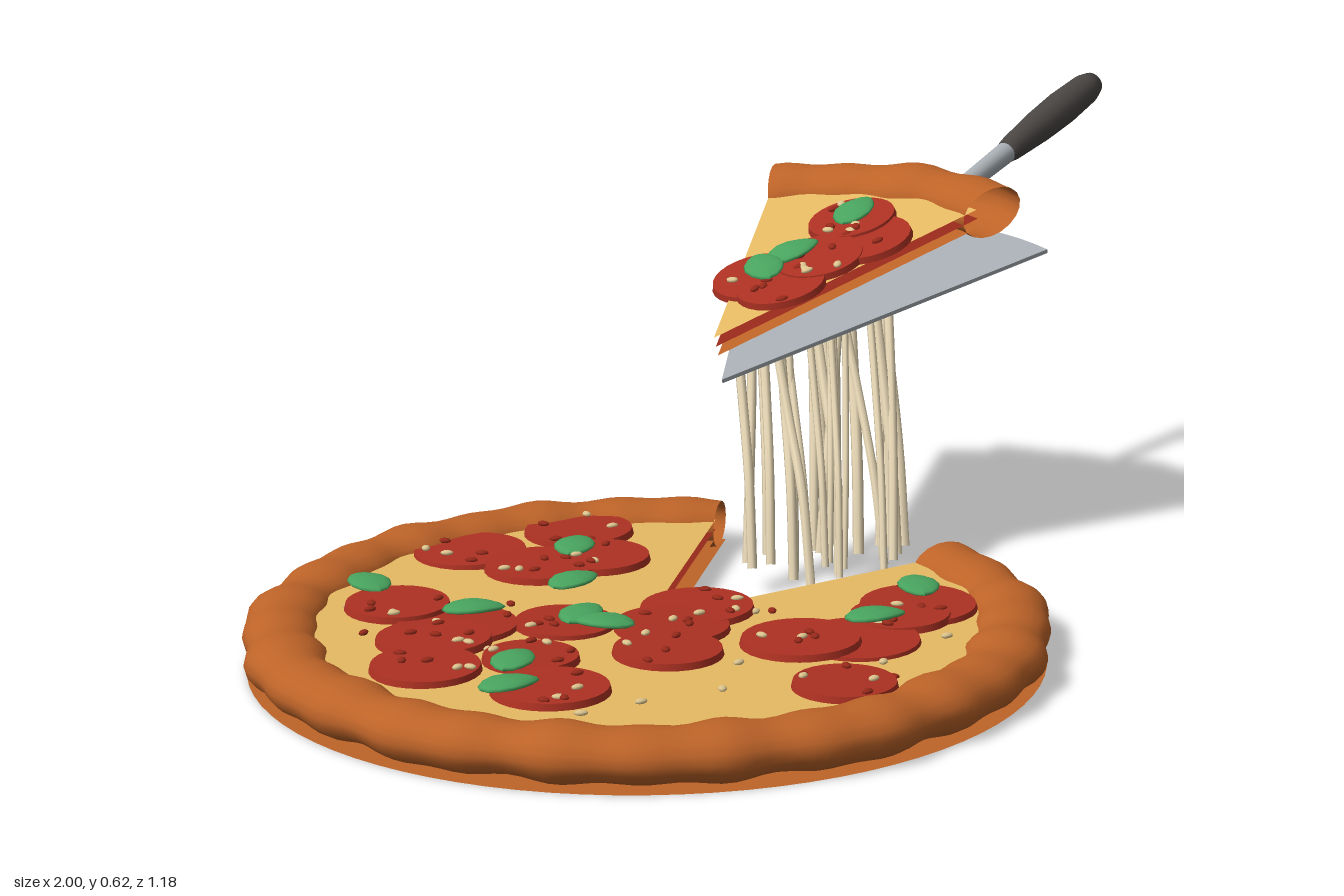
import * as THREE from 'three';

const mat = (name, color, double) => {
  const m = new THREE.MeshStandardMaterial({ color });
  m.name = name;
  if (double) m.side = THREE.DoubleSide;
  return m;
};
const rad = THREE.MathUtils.degToRad;

export function createModel() {
  const M = {
    crust: mat('baked crust', 0xbd6328, true),
    cheese: mat('melted cheese', 0xe6b964, true),
    sauce: mat('tomato sauce', 0x96291a, true),
    pepperoni: mat('pepperoni red', 0xad3122),
    basil: mat('basil green', 0x48a35e),
    strand: mat('cheese strand', 0xe6d6b4),
    flake: mat('pale flake', 0xdcc48e),
    steel: mat('steel', 0xa8aeb3, true),
    grip: mat('dark grip', 0x4a4644),
  };
  let seed = 7;
  const rnd = () => (seed = (seed * 16807) % 2147483647) / 2147483647;
  const add = (parent, name, geo, material, x = 0, y = 0, z = 0) => {
    const mesh = new THREE.Mesh(geo, material);
    mesh.name = name;
    mesh.position.set(x, y, z);
    parent.add(mesh);
    return mesh;
  };

  // Lumpy crust swept along an arc, open at both ends
  function crustGeometry(a0, a1) {
    const n = Math.ceil((a1 - a0) / 0.035), k = 18, pos = [], idx = [];
    for (let i = 0; i <= n; i++) {
      const a = a0 + ((a1 - a0) * i) / n;
      const lump = 1 + 0.06 * Math.sin(a * 29) + 0.05 * Math.sin(a * 17 + 1);
      const r0 = 0.53 + 0.003 * Math.sin(a * 11);
      for (let j = 0; j < k; j++) {
        const p = (j / k) * Math.PI * 2;
        const r = r0 + Math.cos(p) * 0.056 * lump;
        const y = Math.max(0.006, 0.044 + Math.sin(p) * 0.038 * lump);
        pos.push(r * Math.cos(a), y, r * Math.sin(a));
        if (i < n) {
          const q = i * k + j, s = i * k + ((j + 1) % k);
          idx.push(q, s, q + k, s, s + k, q + k);
        }
      }
    }
    const g = new THREE.BufferGeometry();
    g.setAttribute('position', new THREE.Float32BufferAttribute(pos, 3));
    g.setIndex(idx);
    g.computeVertexNormals();
    return g;
  }

  // Flat sector lying in the xz plane
  const sector = (r, a0, a1) =>
    new THREE.CircleGeometry(r, 72, a0, a1 - a0).rotateX(Math.PI / 2);

  // Pointed, domed leaf
  const leafGeo = new THREE.SphereGeometry(1, 14, 8);
  const lp = leafGeo.attributes.position;
  for (let i = 0; i < lp.count; i++) {
    const x = lp.getX(i);
    lp.setXYZ(i, x * 0.047, lp.getY(i) * 0.007 - x * x * 0.004,
      lp.getZ(i) * 0.032 * (1 - 0.4 * Math.max(0, x)));
  }
  leafGeo.computeVertexNormals();
  const flakeGeo = new THREE.SphereGeometry(0.01, 8, 6).scale(1, 0.4, 0.65);

  // Crust, layers and toppings for one sector
  function pizza(name, a0, a1, slices, leaves, base) {
    const g = new THREE.Group();
    g.name = name;
    add(g, 'crust', crustGeometry(a0, a1), M.crust);
    add(g, 'underside', sector(base.radius, a0, a1), M.crust, 0, base.y);
    add(g, 'sauceLayer', sector(0.5, a0, a1), M.sauce, 0, 0.045);
    add(g, 'cheeseLayer', sector(0.5, a0, a1), M.cheese, 0, 0.06);
    slices.forEach(([x, z, r], i) => {
      const y = 0.062 + (i % 5) * 0.0017;
      const m = add(g, 'pepperoni', new THREE.CylinderGeometry(r * 0.97, r, 0.01, 28), M.pepperoni, x, y, z);
      m.rotation.set((rnd() - 0.5) * 0.04, 0, (rnd() - 0.5) * 0.04);
      for (let j = 0; j < 5; j++) {
        const t = rnd() * 6.28, d = r * 0.85 * Math.sqrt(rnd());
        const f = add(g, 'flake', flakeGeo, j % 2 ? M.flake : M.sauce,
          x + d * Math.cos(t), y + 0.007, z + d * Math.sin(t));
        f.rotation.y = rnd() * 3;
      }
    });
    leaves.forEach(([x, z, turn]) => {
      add(g, 'basilLeaf', leafGeo, M.basil, x, 0.078, z).rotation.y = turn;
    });
    return g;
  }

  const model = new THREE.Group();
  model.name = 'pizzaWithLiftedSlice';

  // Main pizza with a one-eighth gap
  const main = pizza('mainPizza', rad(16.5), rad(331), [
    [0.07, -0.42, 0.087], [0.25, -0.36, 0.085], [0.08, -0.28, 0.088], [0.16, -0.24, 0.08],
    [-0.2, -0.31, 0.078], [-0.2, -0.19, 0.09], [-0.27, -0.17, 0.085], [-0.37, -0.09, 0.08],
    [-0.25, 0.0, 0.07], [-0.335, 0.115, 0.085], [-0.095, -0.075, 0.075], [0.075, 0.03, 0.085],
    [-0.015, 0.06, 0.085], [-0.105, 0.13, 0.08], [0.045, 0.25, 0.088], [0.11, 0.305, 0.09],
    [0.285, 0.275, 0.088], [0.23, 0.285, 0.075], [-0.06, 0.415, 0.075],
  ], [
    [-0.165, -0.405, 1.2], [0.165, -0.29, 0.5], [0.035, -0.175, 0],
    [-0.155, -0.2, -0.7], [-0.29, 0.005, 0.4], [-0.37, 0.07, -0.3], [-0.075, -0.06, 0.3],
    [-0.085, -0.01, 2], [0.185, 0.275, -0.5], [0.335, 0.235, 0.9],
  ], { radius: 0.58, y: 0.004 });
  main.position.set(-0.412, 0, 0);
  add(main, 'doughLayer', sector(0.5, rad(16.5), rad(331)), M.crust, 0, 0.03);
  model.add(main);

  // Loose flakes scattered on the cheese
  for (let i = 0; i < 28; i++) {
    const a = rad(25 + rnd() * 297), r = 0.08 + 0.37 * Math.sqrt(rnd());
    add(main, 'looseFlake', flakeGeo, i % 3 ? M.flake : M.sauce,
      r * Math.cos(a), 0.063, r * Math.sin(a)).rotation.y = rnd() * 3;
  }

  // Lifted slice
  const slice = pizza('liftedSlice', rad(-22.5), rad(22.5), [
    [0.186, -0.035, 0.075], [0.163, 0.018, 0.07], [0.327, 0.07, 0.075],
    [0.255, 0.032, 0.07], [0.38, 0.015, 0.07],
  ], [[0.2, -0.035, 0.8], [0.255, -0.015, -0.4], [0.4, 0.01, 0.1]], { radius: 0.5, y: 0.03 });
  slice.position.set(-0.125, 0.352, -0.1);
  slice.rotation.set(rad(-3), rad(6.5), rad(15.5), 'YZX');
  model.add(slice);

  // Server: sector blade, shaft and grip
  const server = new THREE.Group();
  server.name = 'pizzaServer';
  const outline = new THREE.Shape();
  outline.moveTo(0, 0);
  outline.absarc(0, 0, 0.59, rad(-27), rad(27), false);
  outline.lineTo(0, 0);
  add(server, 'blade', new THREE.ExtrudeGeometry(outline, { depth: 0.006, bevelEnabled: false, curveSegments: 20 })
    .rotateX(Math.PI / 2), M.steel);
  const turned = (pts) =>
    new THREE.LatheGeometry(pts.map(([r, x]) => new THREE.Vector2(r, x)), 20).rotateZ(-Math.PI / 2);
  add(server, 'shaft', turned([[0, 0.54], [0.013, 0.545], [0.015, 0.7], [0.018, 0.88]]), M.steel);
  add(server, 'grip', turned([[0, 0.86], [0.018, 0.86], [0.021, 0.88], [0.027, 0.97], [0.029, 1.05],
    [0.026, 1.13], [0.02, 1.155], [0, 1.16]]), M.grip);
  server.position.set(-0.125, 0.342, -0.1);
  server.rotation.set(rad(-3), rad(6.5), rad(13), 'YZX');
  model.add(server);

  // Stretched cheese strands from the gap up to the blade
  for (let i = 0; i < 28; i++) {
    const x0 = -0.12 + 0.26 * ((i + rnd()) / 28), z0 = -0.1 + 0.21 * rnd();
    const x1 = x0 + 0.12 + 0.07 * rnd();
    const z1 = -0.14 + (z0 - 0.005) * 0.6 + (rnd() - 0.5) * 0.07;
    const y1 = 0.337 + (x1 + 0.125) * 0.228;
    const sag = 0.04 * rnd();
    const path = new THREE.CatmullRomCurve3([
      new THREE.Vector3(x0, 0.045, z0),
      new THREE.Vector3(x0 + (x1 - x0) * (0.3 - sag), 0.17, z0 + (z1 - z0) * (0.28 - sag)),
      new THREE.Vector3(x0 + (x1 - x0) * 0.66, 0.045 + (y1 - 0.045) * 0.68, z0 + (z1 - z0) * 0.64),
      new THREE.Vector3(x1, y1, z1),
    ]);
    add(model, 'cheeseStrand', new THREE.TubeGeometry(path, 14, 0.005 + 0.004 * rnd(), 7), M.strand);
  }
  return model;
}
